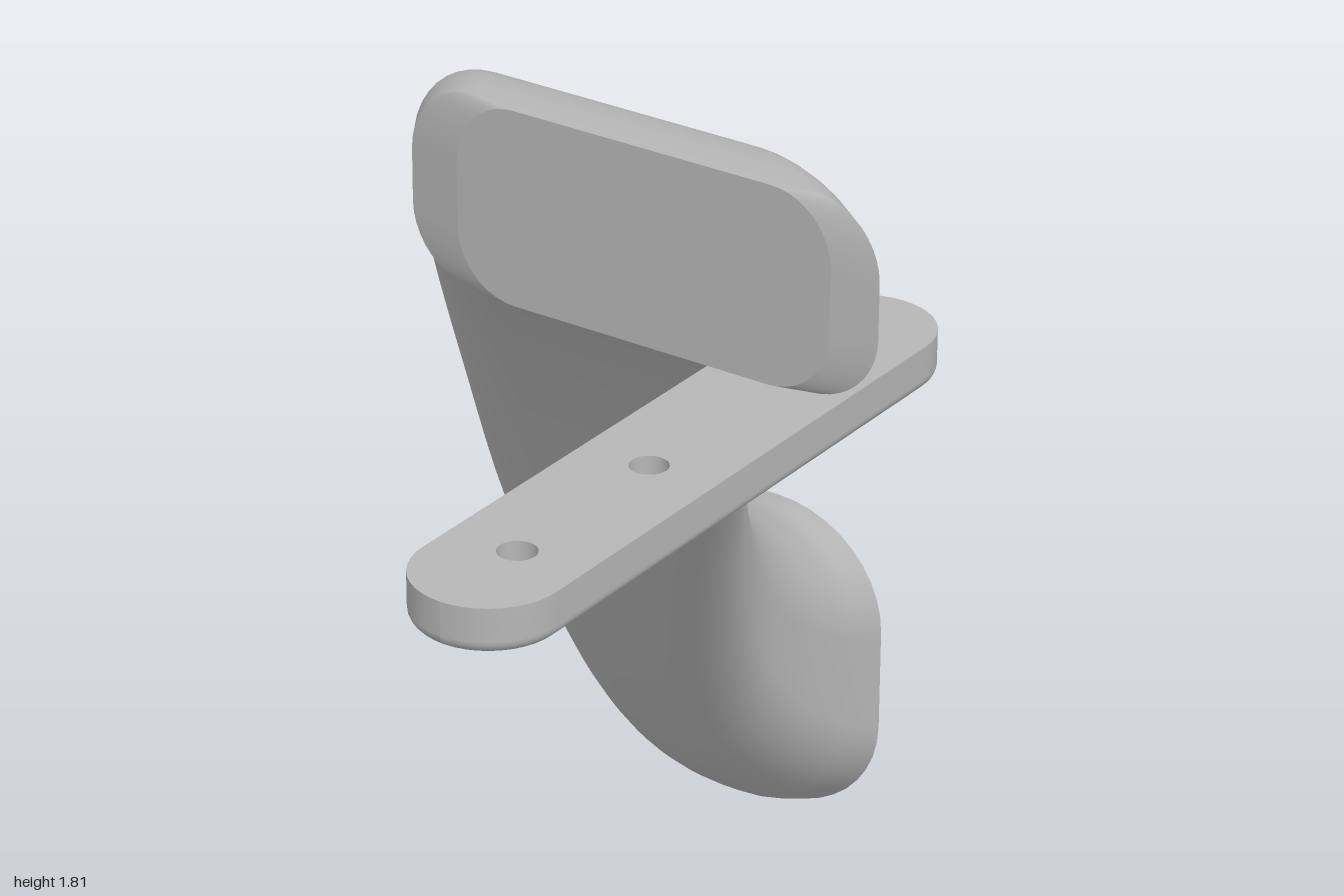
import * as THREE from 'three';

const grey = new THREE.MeshStandardMaterial({ color: 0xb6b6b6, side: THREE.DoubleSide });
grey.name = 'grey';

// Counter-clockwise rounded rectangle with elliptical corners
function roundedRing(x0, x1, y0, y1, rx, ry, steps = 10) {
  const corners = [[x1 - rx, y0 + ry], [x1 - rx, y1 - ry], [x0 + rx, y1 - ry], [x0 + rx, y0 + ry]];
  const points = [];
  corners.forEach(([cx, cy], q) => {
    for (let i = 0; i <= steps; i++) {
      const a = (q - 1 + i / steps) * Math.PI / 2;
      points.push(new THREE.Vector2(cx + rx * Math.cos(a), cy + ry * Math.sin(a)));
    }
  });
  return points;
}

// Smooth skin through rings stacked along +z
function loft(rings) {
  const n = rings[0].points.length, positions = [], index = [];
  rings.forEach(({ points, z }) => points.forEach((p) => positions.push(p.x, p.y, z)));
  for (let i = 0; i < rings.length - 1; i++) {
    for (let j = 0; j < n; j++) {
      const k = (j + 1) % n;
      const a = i * n + j, b = i * n + k, c = b + n, d = a + n;
      index.push(a, b, c, a, c, d);
    }
  }
  const geometry = new THREE.BufferGeometry();
  geometry.setAttribute('position', new THREE.Float32BufferAttribute(positions, 3));
  geometry.setIndex(index);
  geometry.computeVertexNormals();
  return geometry;
}

// Flat end of a loft with round holes, facing +z or -z
function cap({ points, z }, holes, facingBack) {
  const shape = new THREE.Shape(points.filter((p, i) => i === 0 || p.distanceTo(points[i - 1]) > 1e-5));
  holes.forEach(([x, y, r]) => shape.holes.push(new THREE.Path().absarc(x, y, r, 0, Math.PI * 2, true)));
  const geometry = new THREE.ShapeGeometry(shape, 12).translate(0, 0, z);
  if (facingBack) {
    geometry.index.array.reverse();
    geometry.computeVertexNormals();
  }
  return geometry;
}

// Round hole wall along z
function bore([x, y, r], z0, z1) {
  return new THREE.CylinderGeometry(r, r, z1 - z0, 24, 1, true)
    .rotateX(Math.PI / 2).translate(x, y, (z0 + z1) / 2);
}

function add(group, name, geometry) {
  const mesh = new THREE.Mesh(geometry, grey);
  mesh.name = name;
  group.add(mesh);
}

function buildArm() {
  const arm = new THREE.Group();
  arm.name = 'arm';
  // z, left x, right x, bottom y, top y, corner radii
  const keys = [
    [-1, -0.61, -0.14, 0, 0.58, 0.21, 0.2],
    [-0.9, -0.59, -0.158, 0.05, 0.61, 0.2, 0.2],
    [-0.75, -0.56, -0.163, 0.18, 0.715, 0.18, 0.2],
    [-0.6, -0.535, -0.13, 0.37, 0.89, 0.17, 0.2],
    [-0.4, -0.497, -0.02, 0.69, 1.2, 0.16, 0.19],
    [-0.2, -0.425, 0.135, 1.03, 1.49, 0.15, 0.18],
    [-0.09, -0.375, 0.245, 1.2, 1.64, 0.15, 0.17],
    [0, -0.325, 0.345, 1.32, 1.72, 0.15, 0.16],
    [0.1, -0.26, 0.465, 1.43, 1.79, 0.14, 0.14],
    [0.16, -0.22, 0.54, 1.475, 1.81, 0.125, 0.12],
    [0.22, -0.18, 0.61, 1.51, 1.812, 0.11, 0.11],
  ];
  const curve = (a, b) => new THREE.CatmullRomCurve3(
    keys.map((k) => new THREE.Vector3(k[a], k[b], k[0])), false, 'catmullrom');
  const low = curve(1, 3), high = curve(2, 4), radii = curve(5, 6);
  const rings = [];
  for (let i = 0; i <= 50; i++) {
    const l = low.getPoint(i / 50), h = high.getPoint(i / 50), r = radii.getPoint(i / 50);
    rings.push({ points: roundedRing(l.x, h.x, l.y, h.y, r.x, r.y), z: l.z });
  }
  add(arm, 'armBody', loft(rings));

  // Slightly raised front face
  const front = { points: roundedRing(-0.09, 0.54, 1.51, 1.811, 0.1, 0.1), z: 0.235 };
  add(arm, 'frontFaceRim', loft([rings[50], front]));
  add(arm, 'frontFace', cap(front, [], false));

  // Mounting face with two blind holes
  const holes = [[-0.375, 0.16, 0.03], [-0.375, 0.42, 0.03]];
  add(arm, 'mountingFace', cap(rings[0], holes, true));
  holes.forEach((hole) => {
    add(arm, 'mountingHole', bore(hole, -1, -0.88));
    add(arm, 'mountingHoleEnd', new THREE.CircleGeometry(hole[2], 24)
      .rotateY(Math.PI).translate(hole[0], hole[1], -0.88));
  });
  return arm;
}

// Round-ended strip, filleted below, laid flat
function buildPlate() {
  const plate = new THREE.Group();
  plate.name = 'plate';
  const fillet = 0.02, bottom = 1.44, top = 1.51, rings = [];
  const ring = (inset, z) => {
    const r = 0.1075 - inset;
    return { points: roundedRing(0.34 + inset, 0.555 - inset, -1 + inset, 0.1 - inset, r, r), z };
  };
  for (let i = 0; i <= 5; i++) {
    const a = i / 5 * Math.PI / 2;
    rings.push(ring(fillet * (1 - Math.sin(a)), bottom + fillet * (1 - Math.cos(a))));
  }
  rings.push(ring(0, top));
  const holes = [[0.4475, -0.53, 0.028], [0.4475, -0.83, 0.028]];
  add(plate, 'plateEdge', loft(rings));
  add(plate, 'plateTop', cap(rings[rings.length - 1], holes, false));
  add(plate, 'plateUnderside', cap(rings[0], holes, true));
  holes.forEach((hole) => add(plate, 'plateHole', bore(hole, bottom, top)));
  plate.rotation.x = -Math.PI / 2;
  return plate;
}

export function createModel() {
  const model = new THREE.Group();
  model.name = 'bracket';
  model.add(buildArm(), buildPlate());
  return model;
}
